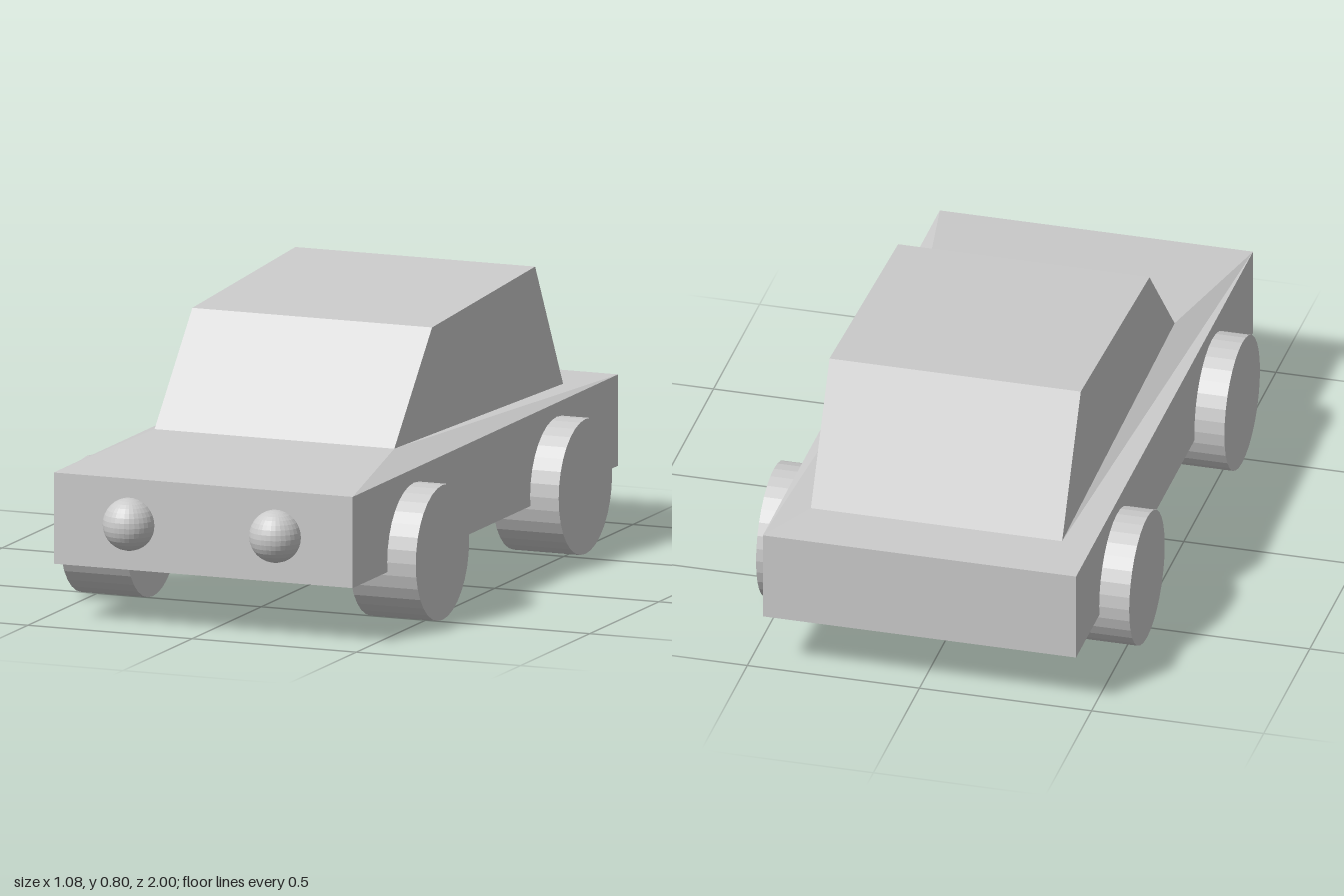
import * as THREE from 'three';

const material = new THREE.MeshStandardMaterial({ color: 0xcccccc, flatShading: true });

function addMesh(parent, name, geometry, x = 0, y = 0, z = 0) {
  const mesh = new THREE.Mesh(geometry, material);
  mesh.name = name;
  mesh.position.set(x, y, z);
  parent.add(mesh);
  return mesh;
}

// Four corners, counter-clockwise from above, with separate front and back heights
function ring(halfWidth, frontZ, backZ, frontY, backY = frontY) {
  return [
    [-halfWidth, frontY, frontZ], [halfWidth, frontY, frontZ],
    [halfWidth, backY, backZ], [-halfWidth, backY, backZ],
  ];
}

// Closed solid stacked from rings, bottom to top
function loft(rings) {
  const positions = [];
  const quad = (a, b, c, d) => positions.push(...a, ...b, ...d, ...b, ...c, ...d);
  for (let r = 0; r < rings.length - 1; r++) {
    const low = rings[r], high = rings[r + 1];
    for (let i = 0; i < 4; i++) {
      const j = (i + 1) % 4;
      quad(low[i], low[j], high[j], high[i]);
    }
  }
  quad(...[...rings[0]].reverse());
  quad(...rings[rings.length - 1]);
  const geometry = new THREE.BufferGeometry();
  geometry.setAttribute('position', new THREE.Float32BufferAttribute(positions, 3));
  geometry.computeVertexNormals();
  return geometry;
}

export function createModel() {
  const car = new THREE.Group();
  car.name = 'car';

  // Lower body, with its top rising gently to the foot of the windscreen
  const cabinBase = ring(0.365, 0.405, -0.815, 0.465, 0.428);
  addMesh(car, 'body', loft([
    ring(0.455, 0.92, -1, 0.167),
    ring(0.455, 0.92, -1, 0.428),
    cabinBase,
  ]));

  // Cabin with raked windscreen, sloping rear and upright sides
  addMesh(car, 'cabin', loft([cabinBase, ring(0.365, 0.132, -0.613, 0.762, 0.8)]));

  // Wheels and headlights, mirrored left and right
  const wheelGeometry = new THREE.CylinderGeometry(0.193, 0.193, 0.202, 32).rotateZ(Math.PI / 2);
  const lightGeometry = new THREE.SphereGeometry(0.075, 32, 16);
  for (const [side, s] of [['left', 1], ['right', -1]]) {
    addMesh(car, side + 'FrontWheel', wheelGeometry, s * 0.441, 0.195, 0.477);
    addMesh(car, side + 'RearWheel', wheelGeometry, s * 0.441, 0.195, -0.556);
    addMesh(car, side + 'Headlight', lightGeometry, s * 0.223, 0.299, 0.925);
  }
  return car;
}
